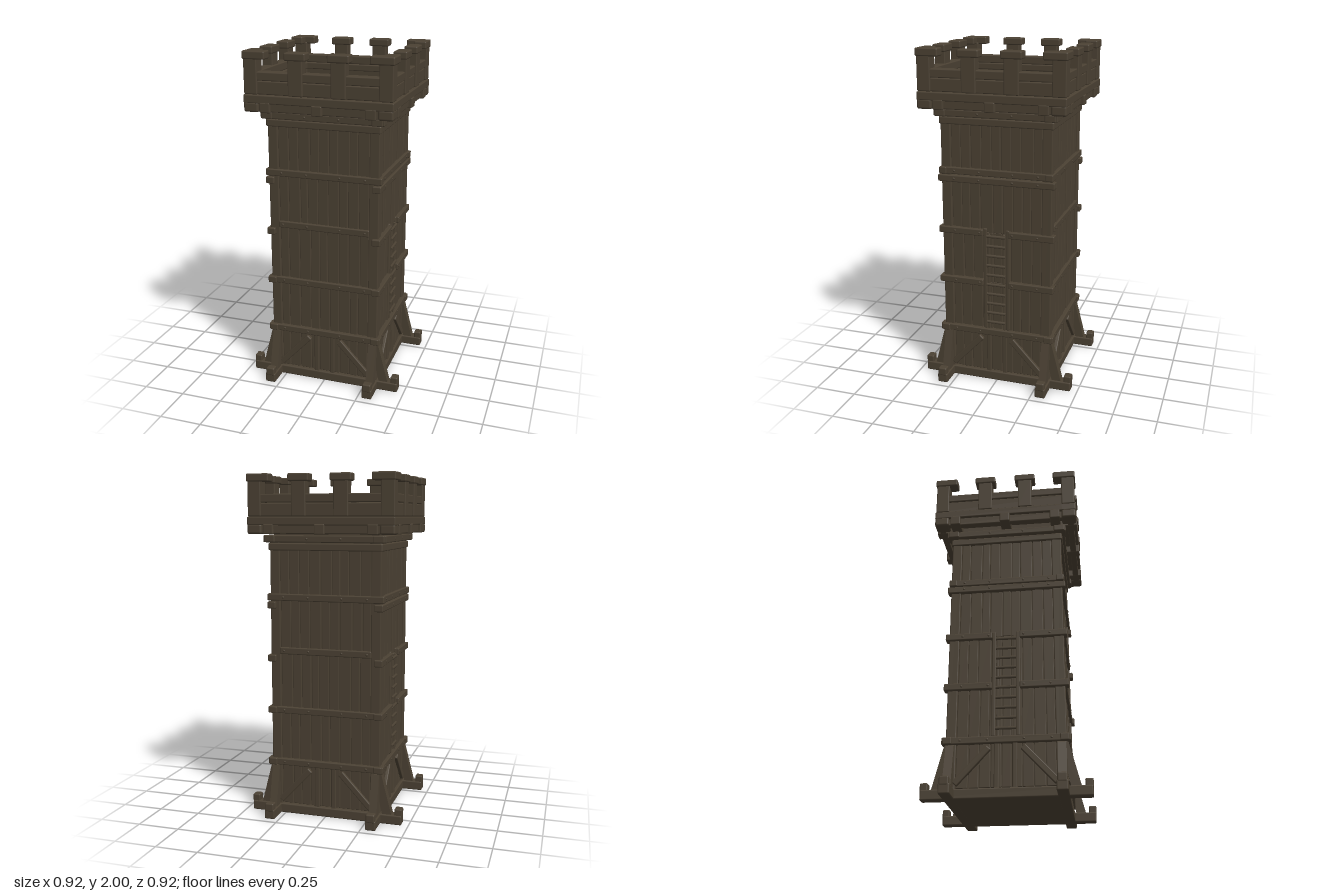
import * as THREE from 'three';
import { RoundedBoxGeometry } from 'three/addons/geometries/RoundedBoxGeometry.js';

const wood = new THREE.MeshStandardMaterial({ color: 0x4b4133 });
wood.name = 'dark weathered wood';

// small seeded noise so boards are not identical
let seed = 7;
const rnd = () => (seed = (seed * 16807) % 2147483647) / 2147483647;

function add(parent, name, geo, x = 0, y = 0, z = 0) {
  const m = new THREE.Mesh(geo, wood);
  m.name = name;
  m.position.set(x, y, z);
  parent.add(m);
  return m;
}

// softly worn beam given by its min and max on each axis
function beam(parent, name, x0, x1, y0, y1, z0, z1, r = 0.006) {
  const w = x1 - x0, h = y1 - y0, d = z1 - z0;
  const geo = new RoundedBoxGeometry(w, h, d, 2, Math.min(r, w / 3, h / 3, d / 3));
  return add(parent, name, geo, (x0 + x1) / 2, (y0 + y1) / 2, (z0 + z1) / 2);
}

function nail(parent, x, y, z) {
  add(parent, 'nail', new THREE.SphereGeometry(0.007, 8, 6), x, y, z).scale.z = 0.6;
}

// vertical wall boards with narrow seams
function planks(g, y0, y1) {
  const n = 9, half = 0.272;
  let x = -half;
  for (let i = 0; i < n; i++) {
    const end = i === n - 1 ? half : -half + (2 * half / n) * (i + 1 + (rnd() - 0.5) * 0.35);
    beam(g, 'wallPlank', x + 0.002, end - 0.002, y0, y1, 0.28, 0.319 + rnd() * 0.006, 0.004);
    x = end;
  }
}

// sloping corner foot, leaning out from the wall
function buttress(g, x) {
  const s = new THREE.Shape();
  [[0.31, 0.31], [0.338, 0.295], [0.4, 0.055], [0.345, 0.055], [0.31, 0.2]]
    .forEach(([a, b], i) => (i ? s.lineTo(a, b) : s.moveTo(a, b)));
  const geo = new THREE.ExtrudeGeometry(s, { depth: 0.046, bevelEnabled: false });
  geo.translate(0, 0, -0.023).rotateY(-Math.PI / 2);
  add(g, 'buttress', geo, x);
}

// one wall of the tower, facing +z
function wall(isSide) {
  const g = new THREE.Group();
  g.name = isSide ? 'sideWall' : 'endWall';

  const levels = isSide ? [0.06, 0.32, 0.635, 0.945, 1.28, 1.6] : [0.06, 0.32, 0.635, 0.99, 1.3, 1.6];
  for (let i = 0; i < 5; i++) planks(g, levels[i], levels[i + 1]);

  // base: ground beam, end stops, buttresses and braces
  beam(g, 'groundBeam', -0.46, 0.46, 0, 0.057, 0.275, 0.337, 0.008);
  for (const s of [-1, 1]) {
    beam(g, 'beamStop', s * 0.44 - 0.022, s * 0.44 + 0.022, 0.045, 0.095, 0.28, 0.332, 0.008);
    buttress(g, s * 0.305);
    const brace = beam(g, 'brace', -0.018, 0.018, -0.135, 0.135, -0.014, 0.014);
    brace.position.set(s * 0.185, 0.18, 0.327);
    brace.rotation.z = s * 0.75;
    beam(g, 'basePost', s * 0.05 - 0.014, s * 0.05 + 0.014, 0.05, 0.31, 0.3, 0.331);
  }

  // horizontal bands
  const band = (y, half, out, gap = 0) => {
    const spans = gap ? [[-half, -gap], [gap, half]] : [[-half, half]];
    for (const [a, b] of spans) beam(g, 'band', a, b, y - 0.02, y + 0.02, 0.295, out);
    for (const s of [-1, 1]) for (const x of [0.1, 0.25]) nail(g, s * x, y, out);
  };
  band(0.32, 0.352, 0.345);
  if (isSide) {
    band(0.635, 0.35, 0.347, 0.078);
    band(0.945, 0.35, 0.345, 0.078);
    band(1.257, 0.348, 0.345);
    band(1.303, 0.335, 0.34);
  } else {
    band(0.635, 0.3, 0.338);
    band(0.99, 0.275, 0.336);
    band(1.303, 0.347, 0.34);
  }
  beam(g, 'corniceLower', -0.335, 0.335, 1.572, 1.613, 0.29, 0.338);
  beam(g, 'corniceUpper', -0.362, 0.362, 1.618, 1.658, 0.29, 0.353);
  for (const x of [-0.3, -0.1, 0.1, 0.3]) nail(g, x, 1.638, 0.353);

  // ladder set between two upright boards
  if (isSide) {
    for (const s of [-1, 1]) {
      beam(g, 'ladderBoard', s * 0.069 - 0.011, s * 0.069 + 0.011, 0.34, 0.97, 0.3, 0.331);
      beam(g, 'ladderRail', s * 0.046 - 0.007, s * 0.046 + 0.007, 0.34, 0.94, 0.3, 0.333, 0.003);
    }
    for (let i = 0; i < 10; i++) {
      const rung = new THREE.CylinderGeometry(0.009, 0.009, 0.114, 8).rotateZ(Math.PI / 2);
      add(g, 'ladderRung', rung, 0, 0.385 + i * 0.06, 0.333);
    }
  }

  battlement(g);
  return g;
}

// parapet side with its merlons, facing +z
function battlement(g) {
  beam(g, 'parapetSill', -0.428, 0.428, 1.715, 1.762, 0.34, 0.428);
  beam(g, 'underBoard', -0.41, 0.41, 1.668, 1.72, 0.375, 0.412);
  beam(g, 'joistEnd', -0.03, 0.03, 1.665, 1.722, 0.3, 0.433);
  beam(g, 'parapetBoardLower', -0.415, 0.415, 1.764, 1.838, 0.355, 0.414);
  beam(g, 'parapetBoardUpper', -0.415, 0.415, 1.84, 1.888, 0.352, 0.418);
  beam(g, 'innerSkirting', -0.345, 0.345, 1.73, 1.775, 0.318, 0.342);
  beam(g, 'innerRail', -0.355, 0.355, 1.8, 1.84, 0.34, 0.36);
  for (const s of [-1, 1]) {
    const x = s * 0.122;
    beam(g, 'merlonPost', x - 0.042, x + 0.042, 1.764, 1.965, 0.362, 0.426);
    beam(g, 'merlonCap', x - 0.061, x + 0.061, 1.955, 1.998, 0.355, 0.432, 0.008);
    beam(g, 'sideJoist', s * 0.302 - 0.03, s * 0.302 + 0.03, 1.665, 1.722, 0.3, 0.43);
  }
}

export function createModel() {
  const tower = new THREE.Group();
  tower.name = 'watchtower';

  // solid core and closed underside
  add(tower, 'core', new THREE.BoxGeometry(0.62, 1.7, 0.62), 0, 0.86, 0);
  add(tower, 'bottom', new THREE.BoxGeometry(0.66, 0.05, 0.66), 0, 0.026, 0);
  add(tower, 'deckBase', new THREE.BoxGeometry(0.8, 0.02, 0.8), 0, 1.72, 0);

  // four walls, two end walls and two ladder walls
  for (let i = 0; i < 4; i++) {
    const w = wall(i % 2 === 1);
    w.rotation.y = (i * Math.PI) / 2;
    tower.add(w);
  }

  // corner posts and corner merlons
  for (const sx of [-1, 1]) for (const sz of [-1, 1]) {
    const corner = new THREE.Group();
    corner.name = 'corner';
    const block = (name, c, half, y0, y1, r) =>
      beam(corner, name, sx * c - half, sx * c + half, y0, y1, sz * c - half, sz * c + half, r);
    block('cornerPost', 0.301, 0.029, 0.05, 1.62);
    block('cornerJoist', 0.385, 0.043, 1.665, 1.722, 0.012);
    block('cornerMerlonPost', 0.385, 0.039, 1.764, 1.965);
    // L-shaped cap
    beam(corner, 'cornerCap', sx * 0.363 - 0.067, sx * 0.363 + 0.067, 1.955, 2, sz * 0.393 - 0.037, sz * 0.393 + 0.037, 0.008);
    beam(corner, 'cornerCap', sx * 0.393 - 0.037, sx * 0.393 + 0.037, 1.955, 2, sz * 0.363 - 0.067, sz * 0.363 + 0.067, 0.008);
    tower.add(corner);
  }

  // deck planks
  const seams = [-0.325, -0.222, -0.09, 0.053, 0.192, 0.325];
  for (let i = 0; i < 5; i++)
    beam(tower, 'deckPlank', -0.33, 0.33, 1.715, 1.748 + rnd() * 0.005, seams[i] + 0.001, seams[i + 1] - 0.001, 0.004);

  return tower;
}
